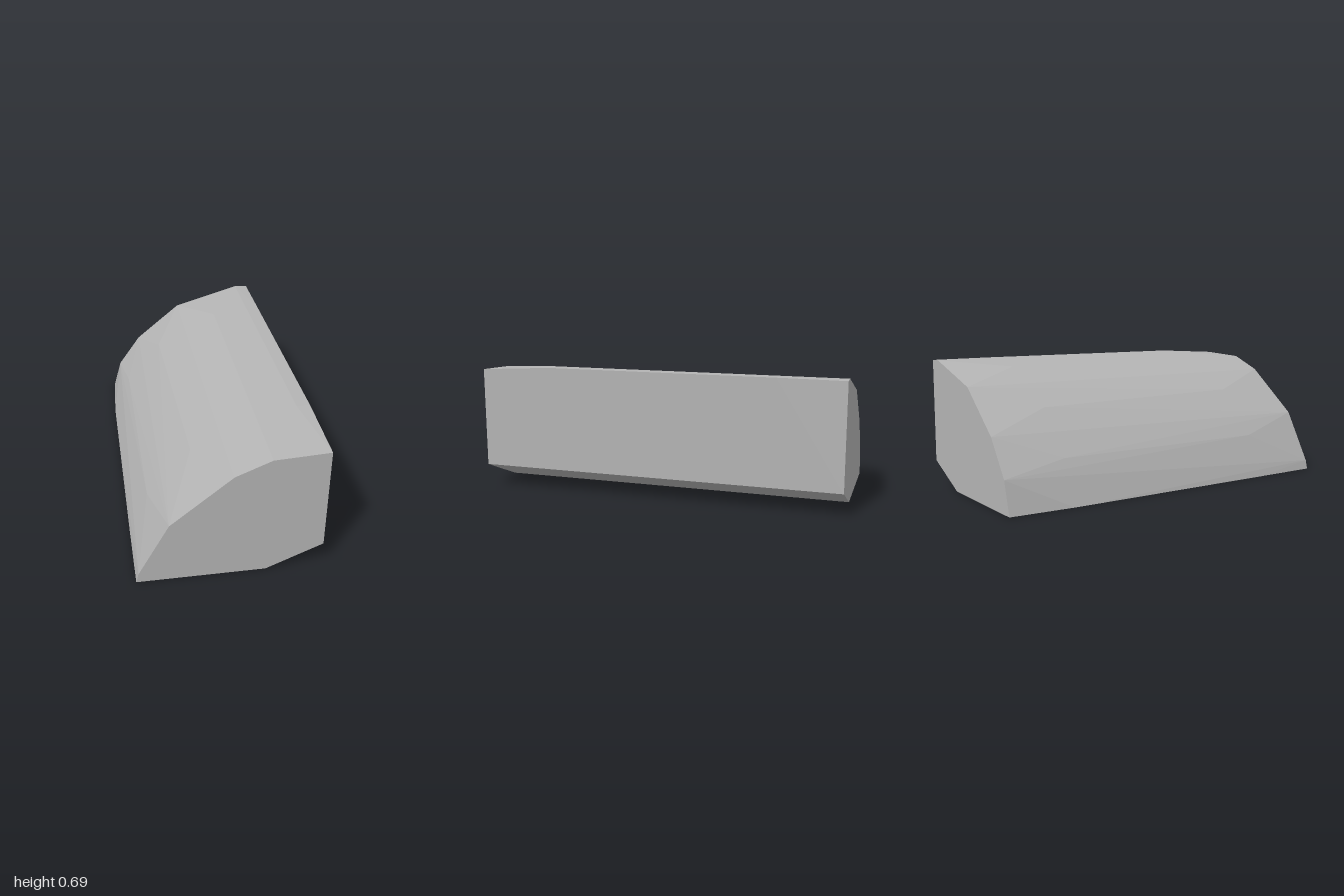
import * as THREE from 'three';
import { ConvexGeometry } from 'three/addons/geometries/ConvexGeometry.js';

// Cross-sections along z; the faceted skin is stretched tightly over them.
const sections = [
  // front end
  { z: 1, outline: [[-0.468, 0], [-0.455, 0.05], [-0.3, 0.33], [0.01, 0.58], [0.19, 0.655], [0.47, 0.67], [0.47, 0.125], [0.18, 0]] },
  // bulge near the front
  { z: 0.6, outline: [[-0.47, 0], [-0.37, 0.232], [-0.14, 0.484], [0.4, 0.693], [0.47, 0.692]] },
  // bulge near the back
  { z: -0.65, outline: [[-0.47, 0], [-0.37, 0.232], [-0.165, 0.467], [0.19, 0.656], [0.47, 0.692]] },
  // back end
  { z: -1, outline: [[-0.453, 0], [-0.405, 0.17], [-0.27, 0.358], [0, 0.578], [0.395, 0.692], [0.47, 0.69], [0.47, 0.125], [0.18, 0]] },
];

export function createModel() {
  const group = new THREE.Group();
  group.name = 'facetedBlock';

  const grey = new THREE.MeshStandardMaterial({ color: 0xb4b4b4 });
  grey.name = 'grey';

  const points = sections.flatMap(({ z, outline }) =>
    outline.map(([x, y]) => new THREE.Vector3(x, y, z)));

  const block = new THREE.Mesh(new ConvexGeometry(points), grey);
  block.name = 'block';
  group.add(block);
  return group;
}
